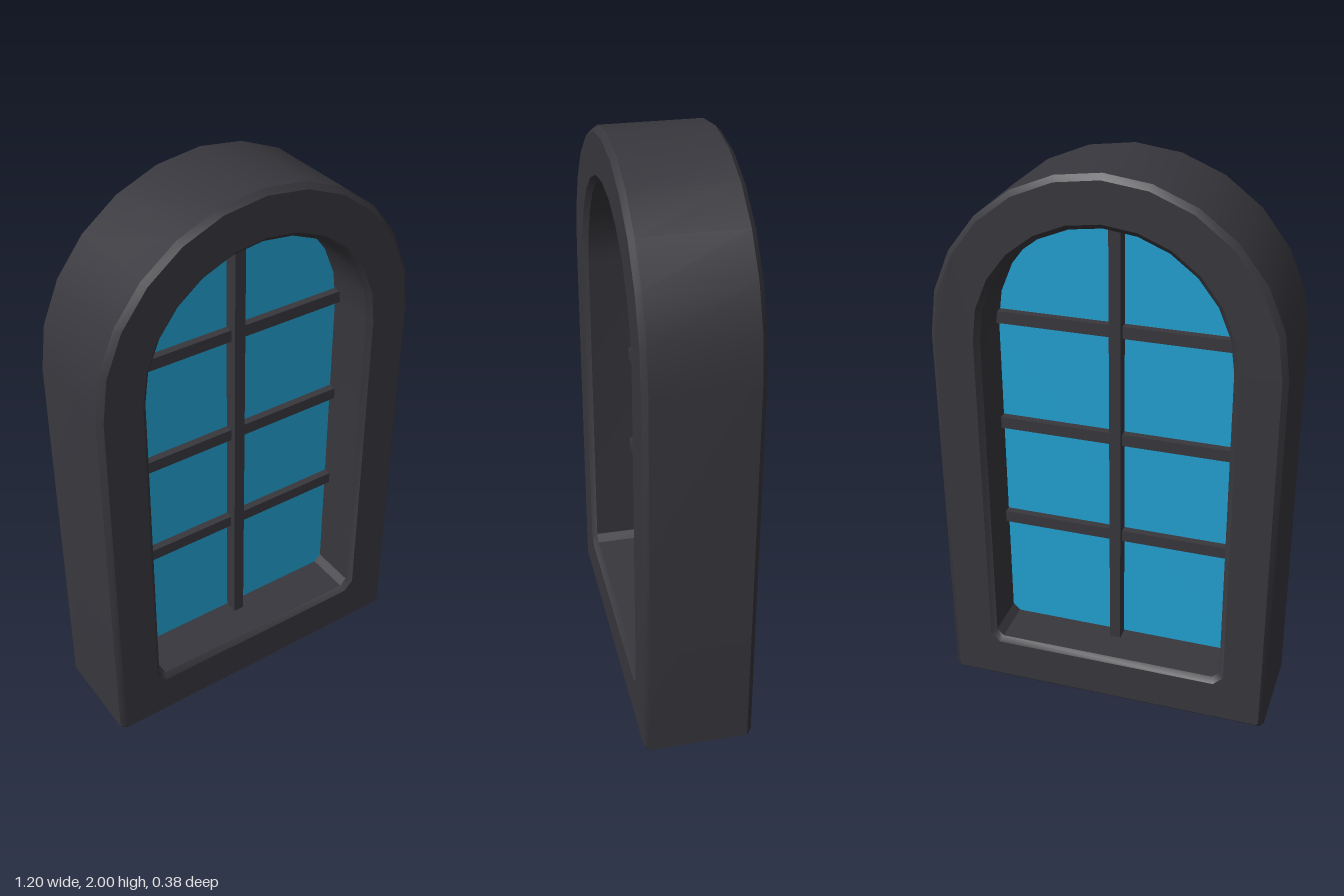
import * as THREE from 'three';
import { toCreasedNormals } from 'three/addons/utils/BufferGeometryUtils.js';

const SPRING = 1.4; // height where the arch begins

// Arched outline: straight sides, 12-sided semicircle, small cut bottom corners
function archPoints(r, bottom, cut) {
  const pts = [
    [-r, bottom + cut], [-r + cut, bottom], [r - cut, bottom], [r, bottom + cut],
  ].map(([x, y]) => new THREE.Vector2(x, y));
  for (let i = 0; i <= 12; i++) {
    const a = (i / 12) * Math.PI;
    pts.push(new THREE.Vector2(r * Math.cos(a), SPRING + r * Math.sin(a)));
  }
  return pts;
}

export function createModel() {
  const group = new THREE.Group();
  const frameMat = new THREE.MeshStandardMaterial({ color: 0x38373d });
  frameMat.name = 'darkFrame';
  const glassMat = new THREE.MeshStandardMaterial({ color: 0x22a0d0 });
  glassMat.name = 'blueGlass';

  const add = (name, geometry, material, x = 0, y = 0, z = 0) => {
    const mesh = new THREE.Mesh(geometry, material);
    mesh.name = name;
    mesh.position.set(x, y, z);
    group.add(mesh);
  };

  // Surround with arched opening and bevelled edges
  const bevel = 0.018;
  const shape = new THREE.Shape(archPoints(0.6, 0, 0.018));
  shape.holes.push(new THREE.Path(archPoints(0.427, 0.185, 0.025).reverse()));
  const frame = new THREE.ExtrudeGeometry(shape, {
    depth: 0.38 - 2 * bevel, bevelEnabled: true, bevelSegments: 1,
    bevelSize: bevel, bevelThickness: bevel, bevelOffset: -bevel,
  });
  frame.translate(0, 0, -0.19 + bevel);
  add('frame', toCreasedNormals(frame, 0.6), frameMat);

  // Pane, tucked slightly into the surround
  const pane = new THREE.ExtrudeGeometry(new THREE.Shape(archPoints(0.435, 0.175, 0.02)), {
    depth: 0.01, bevelEnabled: false,
  });
  add('glass', pane, glassMat, 0, 0, -0.005);

  // Glazing bars, showing on both sides of the pane
  add('verticalBar', new THREE.BoxGeometry(0.04, 1.67, 0.11), frameMat, 0, 1.005, 0);
  for (const y of [0.627, 1.02, 1.424]) {
    add('horizontalBar', new THREE.BoxGeometry(0.86, 0.043, 0.065), frameMat, 0, y, 0);
  }
  return group;
}
